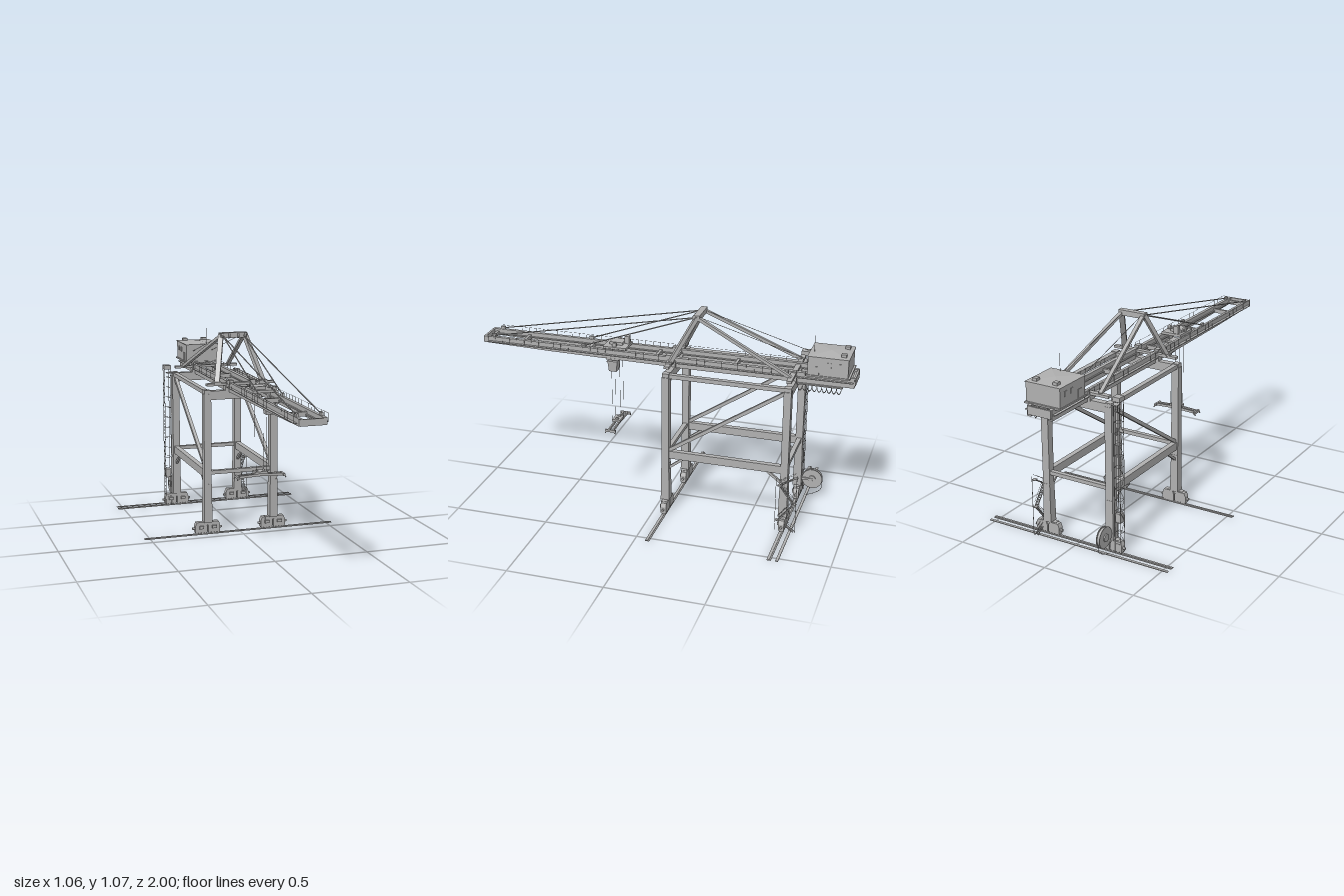
import * as THREE from 'three';

const steel = new THREE.MeshStandardMaterial({ color: 0xb0b0b0 });
steel.name = 'grey steel';
const V = (x, y, z) => new THREE.Vector3(x, y, z);

export function createModel() {
  const root = new THREE.Group();
  root.name = 'containerCrane';

  // Helpers
  const add = (name, geo, x = 0, y = 0, z = 0, parent = root) => {
    const m = new THREE.Mesh(geo, steel);
    m.name = name;
    m.position.set(x, y, z);
    parent.add(m);
    return m;
  };
  // Box given by its limits on each axis
  const box = (name, x0, x1, y0, y1, z0, z1) =>
    add(name, new THREE.BoxGeometry(x1 - x0, y1 - y0, z1 - z0), (x0 + x1) / 2, (y0 + y1) / 2, (z0 + z1) / 2);
  // Rectangular bar between two points
  const beam = (name, a, b, w, h = w) => {
    const m = add(name, new THREE.BoxGeometry(w, h, a.distanceTo(b)));
    m.position.copy(a).add(b).multiplyScalar(0.5);
    m.lookAt(b);
    return m;
  };
  // Round rod between two points
  const rod = (name, a, b, r) => {
    const m = add(name, new THREE.CylinderGeometry(r, r, a.distanceTo(b), 6));
    m.position.copy(a).add(b).multiplyScalar(0.5);
    m.quaternion.setFromUnitVectors(V(0, 1, 0), b.clone().sub(a).normalize());
    return m;
  };
  const wheel = (name, x, y, z, r, t, axis) => {
    const m = add(name, new THREE.CylinderGeometry(r, r, t, 24), x, y, z);
    if (axis === 'x') m.rotation.z = Math.PI / 2;
    if (axis === 'z') m.rotation.x = Math.PI / 2;
    return m;
  };
  const sides = [-1, 1];
  const ZF = -0.06, ZR = -0.69, XL = 0.185;

  // Ground rails and cable channel
  for (const z of [-0.065, -0.695]) {
    box('railBase', -0.53, 0.53, 0, 0.003, z - 0.011, z + 0.011);
    box('railHead', -0.53, 0.53, 0.003, 0.006, z - 0.004, z + 0.004);
  }
  box('cableChannel', -0.53, 0.53, 0, 0.004, -0.742, -0.728);

  // Legs, travelling gear and portal frame
  for (const z of [ZF, ZR]) {
    for (const s of sides) {
      const x = s * XL;
      box('leg', x - 0.02, x + 0.02, 0.28, 0.765, z - 0.019, z + 0.019);
      const foot = new THREE.CylinderGeometry(0.0283, 0.0325, 0.21, 4, 1).toNonIndexed();
      foot.rotateY(Math.PI / 4);
      foot.computeVertexNormals();
      add('legFoot', foot, x, 0.175, z);
      box('legCap', x - 0.016, x + 0.016, 0.765, 0.785, z - 0.018, z + 0.018);
      box('equaliserBeam', x - 0.045, x + 0.045, 0.055, 0.072, z - 0.014, z + 0.014);
      for (const t of sides) {
        const c = x + t * 0.036;
        const p = new THREE.Shape([[-0.033, 0.015], [0.033, 0.015], [0.033, 0.05], [0.025, 0.07], [-0.025, 0.07], [-0.033, 0.05]]
          .map(([a, b]) => new THREE.Vector2(a, b)));
        const g = new THREE.ExtrudeGeometry(p, { depth: 0.03, bevelEnabled: false });
        add('bogie', g, c, 0, z - 0.02);
        for (let i = 0; i < 4; i++) wheel('bogieWheel', c - 0.024 + i * 0.016, 0.014, z - 0.005, 0.008, 0.02, 'z');
        wheel('buffer', x + t * 0.075, 0.035, z - 0.005, 0.006, 0.014, 'x');
        box('travelMotor', c - 0.012, c + 0.012, 0.035, 0.05, z + 0.01, z + 0.02);
      }
    }
    box('topCrossBeam', -0.2, 0.2, 0.733, 0.78, z - 0.017, z + 0.017);
    box('lowerCrossBeam', -0.168, 0.168, 0.33, 0.35, z - 0.012, z + 0.012);
    box('girderSeat', -0.185, 0.185, 0.805, 0.818, z - 0.013, z + 0.013);
    for (const s of sides) box('girderBracket', s * 0.066 - 0.02, s * 0.066 + 0.02, 0.775, 0.808, z - 0.018, z + 0.018);
  }
  for (const s of sides) {
    const x = s * XL;
    box('sideTopBeam', x - 0.013, x + 0.013, 0.76, 0.782, ZR, ZF);
    box('sideSillBeam', x - 0.014, x + 0.014, 0.312, 0.354, ZR, ZF);
    beam('sideDiagonal', V(x, 0.355, -0.075), V(x, 0.755, -0.68), 0.018);
    beam('kneeBrace', V(x, 0.25, -0.07), V(x, 0.315, -0.155), 0.013);
    beam('kneeBrace', V(x, 0.25, -0.68), V(x, 0.315, -0.595), 0.013);
  }

  // Main girders, tapering boom, walkways and railings
  const boomSide = new THREE.Shape([[-0.035, 0.772], [0.6, 0.78], [0.995, 0.79], [0.995, 0.824], [-0.035, 0.824]]
    .map(([z, y]) => new THREE.Vector2(-z, y)));
  for (const s of sides) {
    const x = s * 0.06;
    box('rearGirder', x - 0.01, x + 0.01, 0.77, 0.824, -0.995, -0.042);
    const g = new THREE.ExtrudeGeometry(boomSide, { depth: 0.018, bevelEnabled: false });
    g.translate(0, 0, -0.009).rotateY(Math.PI / 2);
    add('boomGirder', g, x, 0, 0);
    const w = s * 0.0765, o = s * 0.083;
    box('walkwayRear', w - 0.0075, w + 0.0075, 0.797, 0.801, -0.99, -0.05);
    box('walkwayFront', w - 0.0075, w + 0.0075, 0.797, 0.801, -0.03, 0.97);
    box('boomHinge', x - 0.013, x + 0.013, 0.81, 0.835, -0.055, -0.022);
    box('trolleyRail', s * 0.047 - 0.004, s * 0.047 + 0.004, 0.796, 0.802, -0.95, 0.97);
    for (let i = 0; i <= 24; i++) {
      const z = -0.03 + i * 0.0415;
      rod('railingPost', V(o, 0.8, z), V(o, 0.838, z), 0.0008);
    }
    rod('handrail', V(o, 0.838, -0.03), V(o, 0.838, 0.966), 0.0008);
    rod('handrail', V(o, 0.838, -0.75), V(o, 0.838, -0.06), 0.0008);
    for (let i = 0; i <= 16; i++) rod('railingPost', V(o, 0.8, -0.75 + i * 0.043), V(o, 0.838, -0.75 + i * 0.043), 0.0008);
  }
  for (const z of [-0.985, -0.78, -0.38, 0.04, 0.41, 0.78, 0.97])
    box('girderTie', -0.055, 0.055, 0.79, 0.812, z - 0.007, z + 0.007);
  box('boomTip', -0.065, 0.065, 0.79, 0.822, 0.988, 1);
  box('girderEnd', -0.065, 0.065, 0.78, 0.822, -1, -0.99);

  // A-frame with stays
  const apexZ = -0.185;
  box('apexBeam', -0.075, 0.075, 1.038, 1.066, apexZ - 0.016, apexZ + 0.016);
  for (const x of [-0.065, -0.025, 0.025, 0.065]) wheel('apexSheave', x, 1.05, apexZ + 0.012, 0.014, 0.008, 'x');
  for (const s of sides) {
    beam('frontMast', V(s * 0.127, 0.815, ZF), V(s * 0.066, 1.055, apexZ), 0.027, 0.02);
    beam('rearMast', V(s * 0.132, 0.815, ZR), V(s * 0.062, 1.052, apexZ), 0.019, 0.016);
    box('mastFoot', s * 0.127 - 0.02, s * 0.127 + 0.02, 0.815, 0.826, ZF - 0.016, ZF + 0.016);
    const top = V(s * 0.058, 1.05, apexZ + 0.01);
    rod('outerStay', top, V(s * 0.06, 0.83, 0.94), 0.003);
    rod('innerStay', top, V(s * 0.06, 0.83, 0.43), 0.003);
    rod('backStay', V(s * 0.055, 1.055, apexZ), V(s * 0.055, 0.835, -0.95), 0.0015);
    for (const z of [0.43, 0.94]) box('stayLug', s * 0.06 - 0.006, s * 0.06 + 0.006, 0.822, 0.84, z - 0.012, z + 0.012);
  }

  // Machinery house with low hipped roof
  box('houseFloor', -0.1, 0.1, 0.82, 0.828, -0.975, -0.755);
  box('machineryHouse', -0.095, 0.095, 0.828, 0.924, -0.965, -0.762);
  box('roofEdge', -0.098, 0.098, 0.922, 0.926, -0.968, -0.759);
  const roof = new THREE.CylinderGeometry(0.01, Math.SQRT1_2, 0.008, 4, 1).toNonIndexed();
  roof.rotateY(Math.PI / 4).scale(0.194, 1, 0.207);
  roof.computeVertexNormals();
  add('houseRoof', roof, 0, 0.93, -0.8635);
  for (const s of sides) {
    box('roofVent', s * 0.057 - 0.013, s * 0.057 + 0.013, 0.925, 0.942, -0.948, -0.922);
    box('houseDoor', s * 0.0965 - 0.0015, s * 0.0965 + 0.0015, 0.83, 0.875, -0.82, -0.795);
    for (const z of [-0.87, -0.92]) box('houseWindow', s * 0.0965 - 0.0015, s * 0.0965 + 0.0015, 0.875, 0.9, z - 0.01, z + 0.01);
  }
  rod('antenna', V(0.03, 0.925, -0.782), V(0.03, 1.017, -0.782), 0.001);

  // Festoon cable loops beneath the rear girder
  for (let i = 0; i < 9; i++) {
    const g = new THREE.TorusGeometry(0.012, 0.0014, 5, 12, Math.PI);
    g.rotateZ(Math.PI).scale(1, 2.6, 1).rotateY(Math.PI / 2);
    add('festoonLoop', g, 0.076, 0.764, -0.725 - i * 0.0245);
  }
  box('festoonTrack', 0.07, 0.082, 0.764, 0.77, -0.94, -0.71);

  // Trolley, operator cab, hoist ropes and spreader
  box('trolleyFrame', -0.058, 0.058, 0.824, 0.838, 0.2, 0.325);
  box('trolleyWinch', -0.045, 0.02, 0.838, 0.853, 0.23, 0.3);
  box('trolleyCabinet', -0.038, -0.012, 0.838, 0.878, 0.205, 0.228);
  for (const s of sides) {
    wheel('trolleySheave', s * 0.045, 0.847, 0.265, 0.012, 0.012, 'x');
    box('trolleyHanger', s * 0.045 - 0.004, s * 0.045 + 0.004, 0.77, 0.826, 0.255, 0.285);
  }
  box('trolleyUnderframe', -0.048, 0.07, 0.77, 0.78, 0.235, 0.305);
  const cab = new THREE.BoxGeometry(0.05, 0.052, 0.052);
  const cp = cab.attributes.position;
  for (let i = 0; i < cp.count; i++) if (cp.getY(i) < 0) { cp.setX(i, cp.getX(i) * 0.86); cp.setZ(i, cp.getZ(i) * 0.8); }
  cab.computeVertexNormals();
  add('operatorCab', cab, 0.045, 0.731, 0.27);
  box('cabRoof', 0.018, 0.072, 0.757, 0.763, 0.242, 0.3);
  box('cabHanger', 0.035, 0.055, 0.762, 0.772, 0.258, 0.282);
  for (const s of sides) for (const z of [0.245, 0.29])
    rod('hoistRope', V(s * 0.025, 0.412, z), V(s * 0.025, 0.772, z), 0.0008);
  box('spreaderHeadblock', -0.034, 0.034, 0.4, 0.412, 0.245, 0.29);
  for (const s of sides) {
    wheel('headblockSheave', s * 0.018, 0.412, 0.267, 0.009, 0.008, 'x');
    for (const z of [0.256, 0.279]) beam('spreaderArm', V(0, 0.394, z), V(s * 0.125, 0.388, z), 0.008, 0.013);
    box('spreaderEnd', s * 0.123 - 0.005, s * 0.123 + 0.005, 0.381, 0.394, 0.24, 0.296);
    for (const z of [0.242, 0.294]) beam('spreaderFlipper', V(s * 0.121, 0.393, z), V(s * 0.131, 0.375, z), 0.005);
  }

  // Lift tower beside the rear leg
  const tx = [-0.25, -0.217], tz = [-0.71, -0.675];
  for (const x of tx) for (const z of tz) rod('towerPost', V(x, 0.005, z), V(x, 0.81, z), 0.0015);
  for (let i = 1; i < 14; i++) {
    const y = i * 0.058, up = y + 0.058;
    for (const z of tz) rod('towerRung', V(tx[0], y, z), V(tx[1], y, z), 0.001);
    for (const x of tx) rod('towerRung', V(x, y, tz[0]), V(x, y, tz[1]), 0.001);
    if (i < 13) rod('towerBrace', V(tx[0], y, tz[i % 2]), V(tx[0], up, tz[1 - i % 2]), 0.001);
  }
  box('towerHead', -0.253, -0.214, 0.802, 0.825, -0.713, -0.672);
  box('towerLanding', -0.235, -0.17, 0.779, 0.783, -0.71, -0.675);
  box('liftCar', -0.248, -0.219, 0.17, 0.22, -0.708, -0.678);

  // Cable reel and its guide behind the rear leg
  wheel('reelHub', -0.19, 0.11, -0.768, 0.02, 0.034, 'x');
  for (const dx of [-0.009, 0.009]) wheel('reelFlange', -0.19 + dx, 0.11, -0.768, 0.055, 0.003, 'x');
  wheel('reelCable', -0.19, 0.11, -0.768, 0.048, 0.016, 'x');
  beam('reelArm', V(-0.173, 0.11, -0.7), V(-0.173, 0.11, -0.772), 0.008, 0.012);
  const drop = new THREE.CatmullRomCurve3([V(-0.19, 0.1, -0.822), V(-0.19, 0.05, -0.815), V(-0.19, 0.02, -0.775), V(-0.19, 0.004, -0.735)]);
  add('reelCableDrop', new THREE.TubeGeometry(drop, 16, 0.0015, 5));

  // Zigzag access stairs beside the other rear leg
  const turns = [[0.005, -0.755], [0.06, -0.67], [0.16, -0.75], [0.26, -0.675], [0.312, -0.755]];
  turns.forEach(([y, z], i) => {
    if (i) box('stairLanding', 0.213, 0.233, y - 0.002, y + 0.002, z - 0.012, z + 0.012);
    if (i === turns.length - 1) return;
    const [y2, z2] = turns[i + 1];
    for (const x of [0.215, 0.231]) {
      beam('stairStringer', V(x, y, z), V(x, y2, z2), 0.0025, 0.005);
      rod('stairHandrail', V(x, y + 0.025, z), V(x, y2 + 0.025, z2), 0.0008);
    }
    for (let k = 1; k < 10; k++) {
      const sy = y + (y2 - y) * k / 10, sz = z + (z2 - z) * k / 10;
      box('stairTread', 0.215, 0.231, sy - 0.001, sy + 0.001, sz - 0.004, sz + 0.004);
    }
  });
  rod('stairPost', V(0.233, 0.005, -0.763), V(0.233, 0.33, -0.763), 0.0015);
  rod('stairPost', V(0.233, 0.005, -0.657), V(0.233, 0.3, -0.657), 0.0012);

  return root;
}
